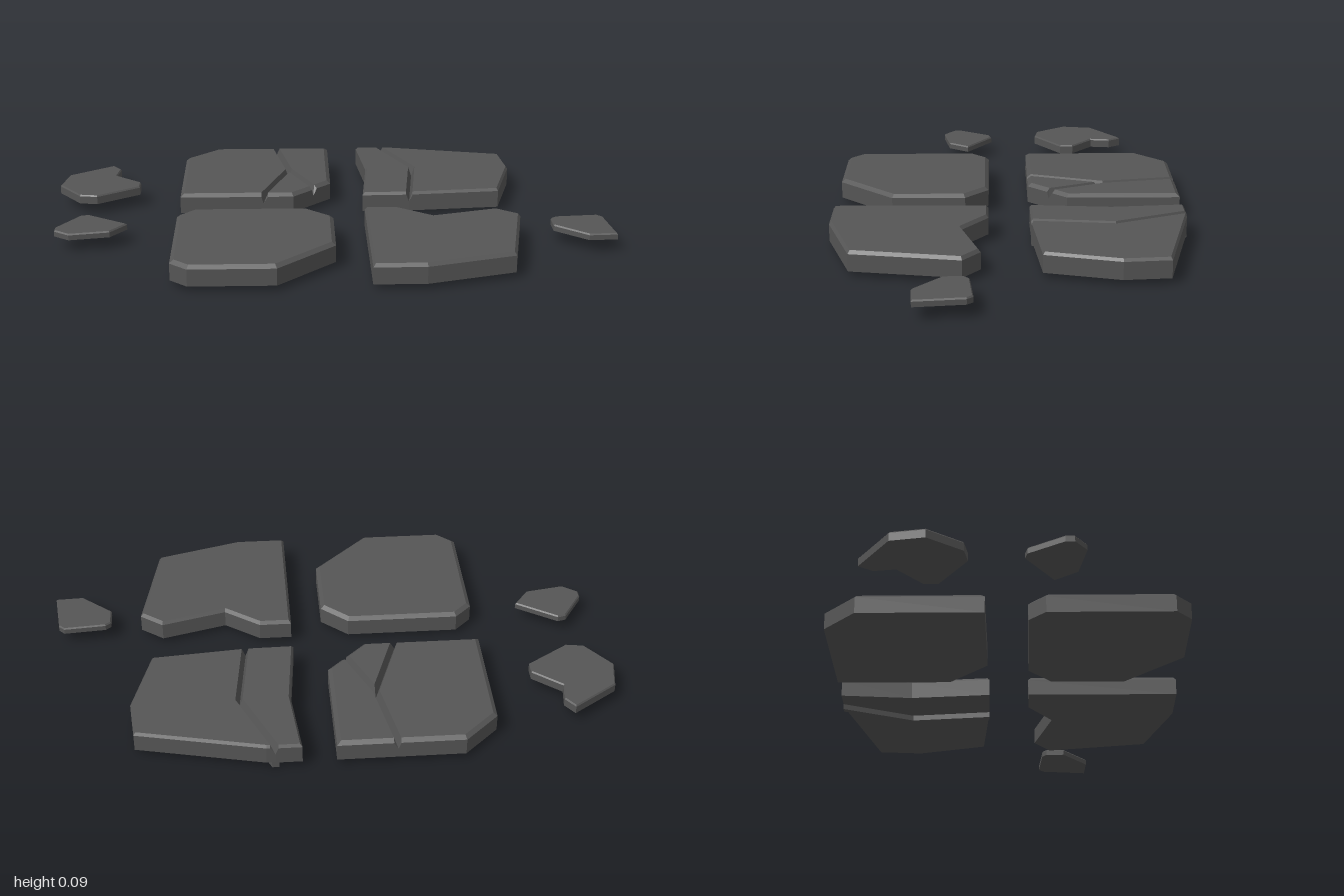
import * as THREE from 'three';

const stone = new THREE.MeshStandardMaterial({ color: 0x555555, flatShading: true });
const CRACK_W = 0.012, CRACK_Y = 0.055;

// Flat stone from a plan outline of [x, z, crack] points. The top edge is chamfered;
// an edge flagged as crack has no wall and slopes down to the crack floor instead.
function slab(name, outline, { y0 = 0.02, y1 = 0.092, inset = 0.014, drop = 0.012 } = {}) {
  const n = outline.length;
  const edges = outline.map((p, i) => {
    const q = outline[(i + 1) % n];
    const d = new THREE.Vector2(q[0] - p[0], q[1] - p[1]).normalize();
    return { d, nx: -d.y, nz: d.x, crack: !!p[2], w: p[2] ? CRACK_W : inset };
  });

  // Each corner holds its foot position, wall height and inset top position
  const ring = [];
  outline.forEach(([x, z], i) => {
    const a = edges[(i + n - 1) % n], b = edges[i];
    const det = a.nx * b.nz - a.nz * b.nx;
    const p = new THREE.Vector2(x, z);
    const off = Math.abs(det) < 0.02
      ? new THREE.Vector2(a.nx, a.nz).multiplyScalar(a.w)
      : new THREE.Vector2(a.w * b.nz - b.w * a.nz, a.nx * b.w - b.nx * a.w).divideScalar(det);
    const top = p.clone().add(off);
    const along = (d) => p.clone().addScaledVector(d, off.dot(d));
    const rim = y1 - drop;
    if (b.crack && !a.crack) ring.push({ p: along(a.d), y: rim, top, crack: false });
    ring.push({ p, y: a.crack || b.crack ? CRACK_Y : rim, top, crack: b.crack });
    if (a.crack && !b.crack) ring.push({ p: along(b.d), y: rim, top, crack: false });
  });

  const pos = [];
  const tri = (...pts) => pts.forEach(([v, y]) => pos.push(v.x, y, v.y));
  ring.forEach((a, i) => {
    const b = ring[(i + 1) % ring.length];
    if (!a.crack) {
      tri([a.p, y0], [a.p, a.y], [b.p, b.y]);
      tri([a.p, y0], [b.p, b.y], [b.p, y0]);
    }
    if (drop > 0) {
      tri([a.p, a.y], [a.top, y1], [b.top, y1]);
      tri([a.p, a.y], [b.top, y1], [b.p, b.y]);
    }
  });
  const cap = (key, y, up) => {
    const pts = ring.map((r) => r[key]);
    for (const [i, j, k] of THREE.ShapeUtils.triangulateShape(pts, [])) {
      const cross = pts[j].clone().sub(pts[i]).cross(pts[k].clone().sub(pts[i]));
      const order = (cross > 0) === up ? [i, k, j] : [i, j, k];
      tri(...order.map((m) => [pts[m], y]));
    }
  };
  cap('top', y1, true);
  cap('p', y0, false);

  const geo = new THREE.BufferGeometry();
  geo.setAttribute('position', new THREE.Float32BufferAttribute(pos, 3));
  geo.computeVertexNormals();
  const mesh = new THREE.Mesh(geo, stone);
  mesh.name = name;
  return mesh;
}

function group(name, ...parts) {
  const g = new THREE.Group();
  g.name = name;
  return g.add(...parts);
}

export function createModel() {
  // Whole paving stones at the front
  const frontRight = slab('frontRightStone', [
    [-0.48, 0.07], [-0.08, 0.07], [0.015, 0.155], [0.015, 0.42],
    [-0.185, 0.62], [-0.48, 0.62], [-0.54, 0.565], [-0.54, 0.13]]);
  const frontLeft = slab('frontLeftStone', [
    [0.13, 0.07], [0.245, 0.07], [0.37, 0.16], [0.6, 0.095],
    [0.68, 0.155], [0.615, 0.53], [0.31, 0.62], [0.13, 0.62]], { inset: 0.009 });

  // Stone split in three by a forked crack
  const n = [-0.19, -0.625], j = [-0.14, -0.355], e = [-0.05, -0.15], s = [-0.235, -0.075];
  const backRight = group('backRightStone',
    slab('outerPiece', [[-0.42, -0.625], [...n, 1], [...j, 1], s, [-0.54, -0.075], [-0.54, -0.51]]),
    slab('innerPiece', [n, [0.015, -0.625], [0.015, -0.215], [...e, 1], [...j, 1]]),
    slab('wedgePiece', [[...j, 1], e, [-0.125, -0.075], [...s, 1]]));

  // Stone split in two, with the crack showing as a ridge underneath
  const a = [0.22, -0.625], b = [0.333, -0.37], c = [0.302, -0.078];
  const shift = (p, dx) => [p[0] + dx, p[1]];
  const thin = { inset: 0.007, drop: 0.01 };
  const backLeft = group('backLeftStone',
    slab('innerPiece', [[0.13, -0.625], [...a, 1], [...b, 1], c, [0.13, -0.075], [0.155, -0.365]], thin),
    slab('outerPiece', [a, [0.25, -0.623], [0.69, -0.525], [0.705, -0.365],
      [0.635, -0.108], [...c, 1], [...b, 1]], thin),
    slab('crackRidge', [shift(a, -0.012), shift(a, 0.012), shift(b, 0.012), shift(c, 0.012),
      shift(c, -0.012), shift(b, -0.012)], { y0: 0, y1: 0.025, inset: 0, drop: 0 }));

  // Loose chips
  const chip = (y0, y1) => ({ y0, y1, inset: 0.004, drop: 0.005 });
  const backChip = slab('backChip', [
    [-0.82, -0.47], [-0.788, -0.425], [-0.798, -0.35], [-0.7, -0.27], [-0.7, -0.22],
    [-0.85, -0.12], [-0.915, -0.13], [-1, -0.245], [-0.98, -0.36]], chip(0.042, 0.075));
  const rightChip = slab('rightChip', [
    [-0.86, 0.06], [-0.715, 0.155], [-0.77, 0.23], [-0.91, 0.255],
    [-0.965, 0.215], [-0.965, 0.185], [-0.89, 0.068]], chip(0.045, 0.068));
  const leftChip = slab('leftChip', [
    [0.81, 0.128], [0.96, 0.115], [0.98, 0.135], [1, 0.305],
    [0.9, 0.31], [0.79, 0.215], [0.79, 0.145]], chip(0.046, 0.069));

  return group('brokenPaving', frontRight, frontLeft, backRight, backLeft, backChip, rightChip, leftChip);
}
